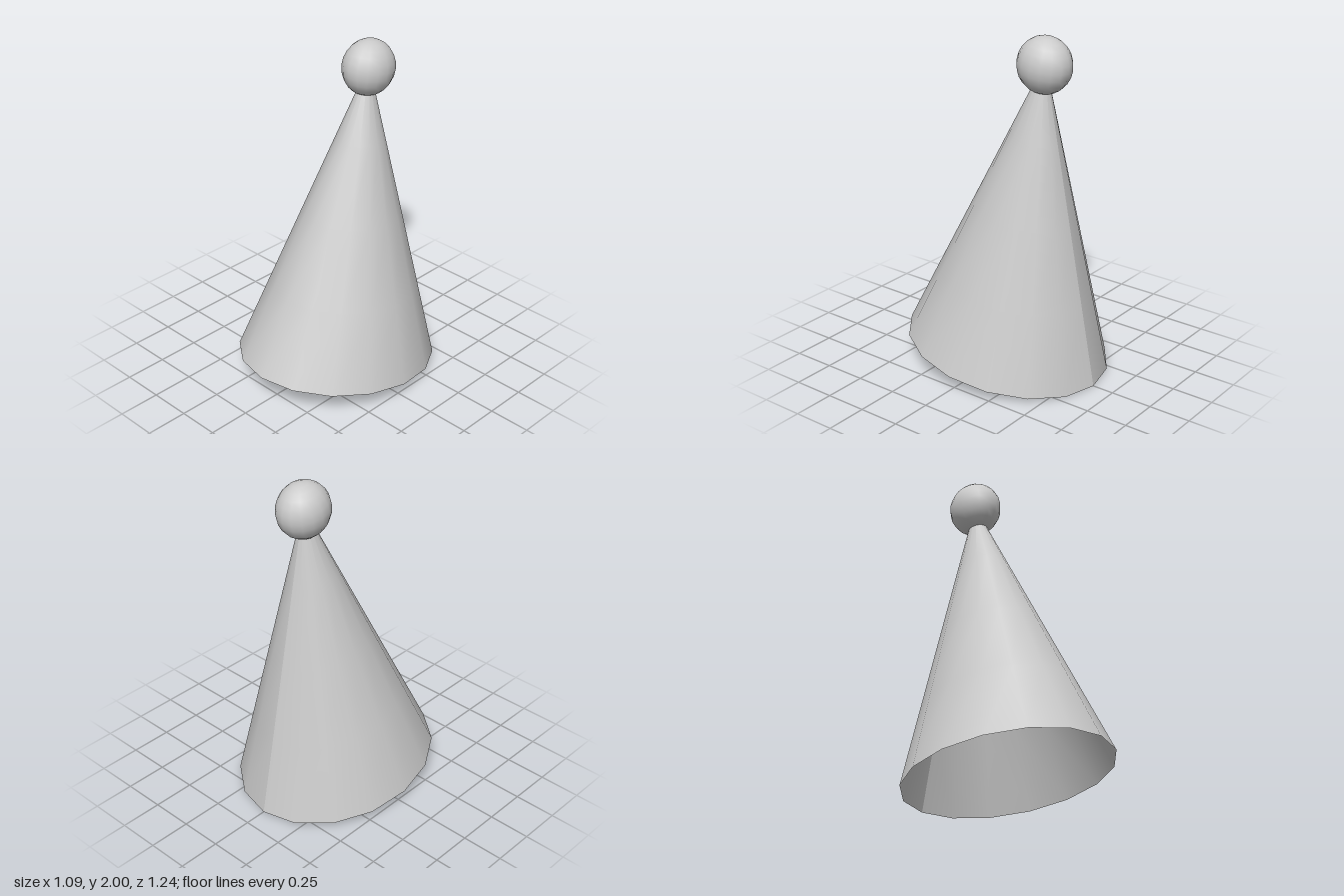
import * as THREE from 'three';

// Pointed hat: open oval cone leaning backwards, with a ball on its tip.
const SIDES = 16;
const TILT = -0.143;
const HEIGHT = 1.79;
const BASE_Y = 0.09;
const WIDTH = 0.547; // half width of the rim
const DEPTH = 0.626; // half depth of the rim

export function createModel() {
  const group = new THREE.Group();
  group.name = 'partyHat';

  const hat = new THREE.Group();
  hat.name = 'leaningHat';
  hat.position.y = BASE_Y;
  hat.rotation.x = TILT;
  group.add(hat);

  // Thin open cone, with its seam at the back
  const coneGeometry = new THREE.ConeGeometry(1, HEIGHT, SIDES, 4, true);
  coneGeometry.rotateY(Math.PI);
  coneGeometry.scale(WIDTH, 1, DEPTH);
  coneGeometry.translate(0, HEIGHT / 2, 0);
  coneGeometry.computeVertexNormals(); // leaves a slight crease along the seam
  const cone = new THREE.Mesh(
    coneGeometry,
    new THREE.MeshStandardMaterial({ color: 0xcccccc, side: THREE.DoubleSide })
  );
  cone.name = 'cone';
  hat.add(cone);

  // Ball on the tip, as oval as the cone
  const ballGeometry = new THREE.SphereGeometry(1, SIDES, 12);
  ballGeometry.scale(0.142, 0.162, 0.162);
  const ball = new THREE.Mesh(
    ballGeometry,
    new THREE.MeshStandardMaterial({ color: 0xcccccc })
  );
  ball.name = 'ball';
  ball.position.y = 1.768;
  hat.add(ball);

  return group;
}
